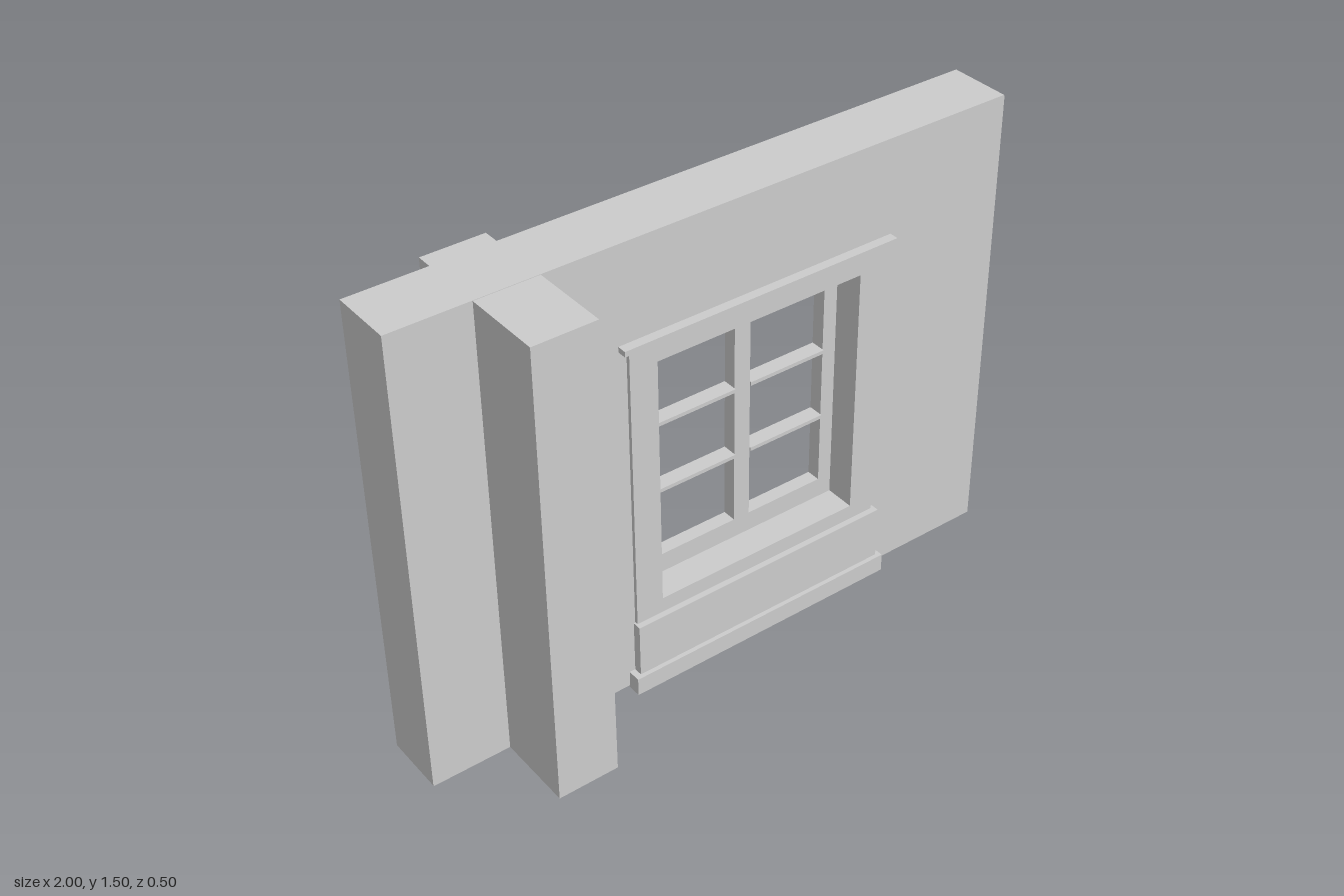
import * as THREE from 'three';

const mat = new THREE.MeshStandardMaterial({ color: 0xcccccc });
const sheetMat = new THREE.MeshStandardMaterial({ color: 0xcccccc, side: THREE.DoubleSide });
const TOP = 1.5, BOTTOM = 0.008, RIM = 0.07;

// Box given by its limits on each axis
function box(name, x0, x1, y0, y1, z0, z1) {
  const mesh = new THREE.Mesh(new THREE.BoxGeometry(x1 - x0, y1 - y0, z1 - z0), mat);
  mesh.position.set((x0 + x1) / 2, (y0 + y1) / 2, (z0 + z1) / 2);
  mesh.name = name;
  return mesh;
}

function rectangle(PathType, x0, x1, y0, y1) {
  const p = new PathType();
  p.moveTo(x0, y0);
  p.lineTo(x1, y0);
  p.lineTo(x1, y1);
  p.lineTo(x0, y1);
  p.closePath();
  return p;
}

// Stepped sheet: later panels override earlier ones; z = null cuts an opening
function reliefSheet(name, panels) {
  const lines = (a, b) => [...new Set(panels.flatMap(p => [p[a], p[b]]))].sort((u, v) => u - v);
  const xs = lines(0, 1), ys = lines(2, 3), pos = [];
  const depth = (i, j) => {
    if (i < 0 || j < 0 || i > xs.length - 2 || j > ys.length - 2) return null;
    const x = (xs[i] + xs[i + 1]) / 2, y = (ys[j] + ys[j + 1]) / 2;
    let z = null;
    for (const p of panels) if (x > p[0] && x < p[1] && y > p[2] && y < p[3]) z = p[4];
    return z;
  };
  const quad = (a, b, c, d) => pos.push(...a, ...b, ...c, ...a, ...c, ...d);
  for (let i = 0; i < xs.length - 1; i++) {
    for (let j = 0; j < ys.length - 1; j++) {
      const z = depth(i, j), zr = depth(i + 1, j), zu = depth(i, j + 1);
      const x0 = xs[i], x1 = xs[i + 1], y0 = ys[j], y1 = ys[j + 1];
      if (z === null) continue;
      quad([x0, y0, z], [x1, y0, z], [x1, y1, z], [x0, y1, z]);
      // Step walls, wound to face the lower side
      if (zr !== null && zr !== z) quad([x1, y0, z], [x1, y0, zr], [x1, y1, zr], [x1, y1, z]);
      if (zu !== null && zu !== z) quad([x0, y1, z], [x1, y1, z], [x1, y1, zu], [x0, y1, zu]);
    }
  }
  const geo = new THREE.BufferGeometry();
  geo.setAttribute('position', new THREE.Float32BufferAttribute(pos, 3));
  geo.computeVertexNormals();
  const mesh = new THREE.Mesh(geo, sheetMat);
  mesh.name = name;
  return mesh;
}

function createWindow() {
  const g = new THREE.Group();
  g.name = 'window';
  // Sash frame around the opening
  const shape = rectangle(THREE.Shape, -0.19, 0.45, 0.32, 1.09);
  shape.holes.push(rectangle(THREE.Path, -0.165, 0.1, 0.37, 1.07));
  shape.holes.push(rectangle(THREE.Path, 0.155, 0.42, 0.37, 1.07));
  const sash = new THREE.Mesh(new THREE.ExtrudeGeometry(shape, { depth: 0.045, bevelEnabled: false }), mat);
  sash.position.z = -0.115;
  sash.name = 'sash';
  g.add(sash);
  // Glazing bars in both casements
  for (const x of [-0.165, 0.155])
    for (const y of [0.605, 0.835])
      g.add(box('glazingBar', x, x + 0.265, y - 0.006, y + 0.006, -0.115, -0.065));
  return g;
}

function createCrossWall() {
  const g = new THREE.Group();
  g.name = 'crossWall';
  const x0 = -0.75, x1 = -0.555;
  // Front half: thin sheet with a rim, open toward +x
  g.add(box('crossSheet', x0, x0 + 0.006, BOTTOM + RIM, TOP - RIM, 0, 0.18));
  g.add(box('crossPost', x0, x1, BOTTOM, TOP, 0.18, 0.25));
  g.add(box('crossBottomRim', x0, x1, BOTTOM, BOTTOM + RIM, 0, 0.18));
  g.add(box('crossTopRim', x0, x1, TOP - RIM, TOP, 0, 0.18));
  g.add(box('backPilaster', x0, x1, BOTTOM, TOP, -0.25, -0.2));
  return g;
}

export function createModel() {
  const model = new THREE.Group();
  model.name = 'wallWithWindow';

  // Rim frame with two recessed bays at the back
  const shape = rectangle(THREE.Shape, -1, 1, BOTTOM, TOP);
  for (const [a, b] of [[-0.93, -0.76], [-0.49, 0.93]])
    shape.holes.push(rectangle(THREE.Path, a, b, BOTTOM + RIM, TOP - RIM));
  const frame = new THREE.Mesh(new THREE.ExtrudeGeometry(shape, { depth: 0.198, bevelEnabled: false }), mat);
  frame.position.z = -0.2;
  frame.name = 'wallFrame';
  model.add(frame);

  // Front skin with casing, ledge, apron, plinth and window niche
  model.add(reliefSheet('frontWall', [
    [-1, 1, BOTTOM, TOP, 0],
    [-0.31, 0.565, 0.24, 1.18, 0.012],
    [-0.335, 0.595, 1.18, 1.197, 0.03],
    [-0.315, 0.58, 0.06, 0.237, 0.028],
    [-0.335, 0.595, 0, 0.06, 0.042],
    [-0.22, 0.48, 0.29, 1.11, -0.085],
    [-0.18, 0.44, 0.34, 1.08, null],
  ]));

  // Folded-back edges of the window panel
  for (const x of [-0.41, 0.67])
    model.add(box('panelLip', x - 0.003, x + 0.003, BOTTOM + RIM, TOP - RIM, -0.07, -0.001));

  // Underside of the plinth
  model.add(box('plinthBase', -0.335, 0.595, 0, 0.02, -0.01, 0.041));

  model.add(createWindow(), createCrossWall());
  return model;
}
